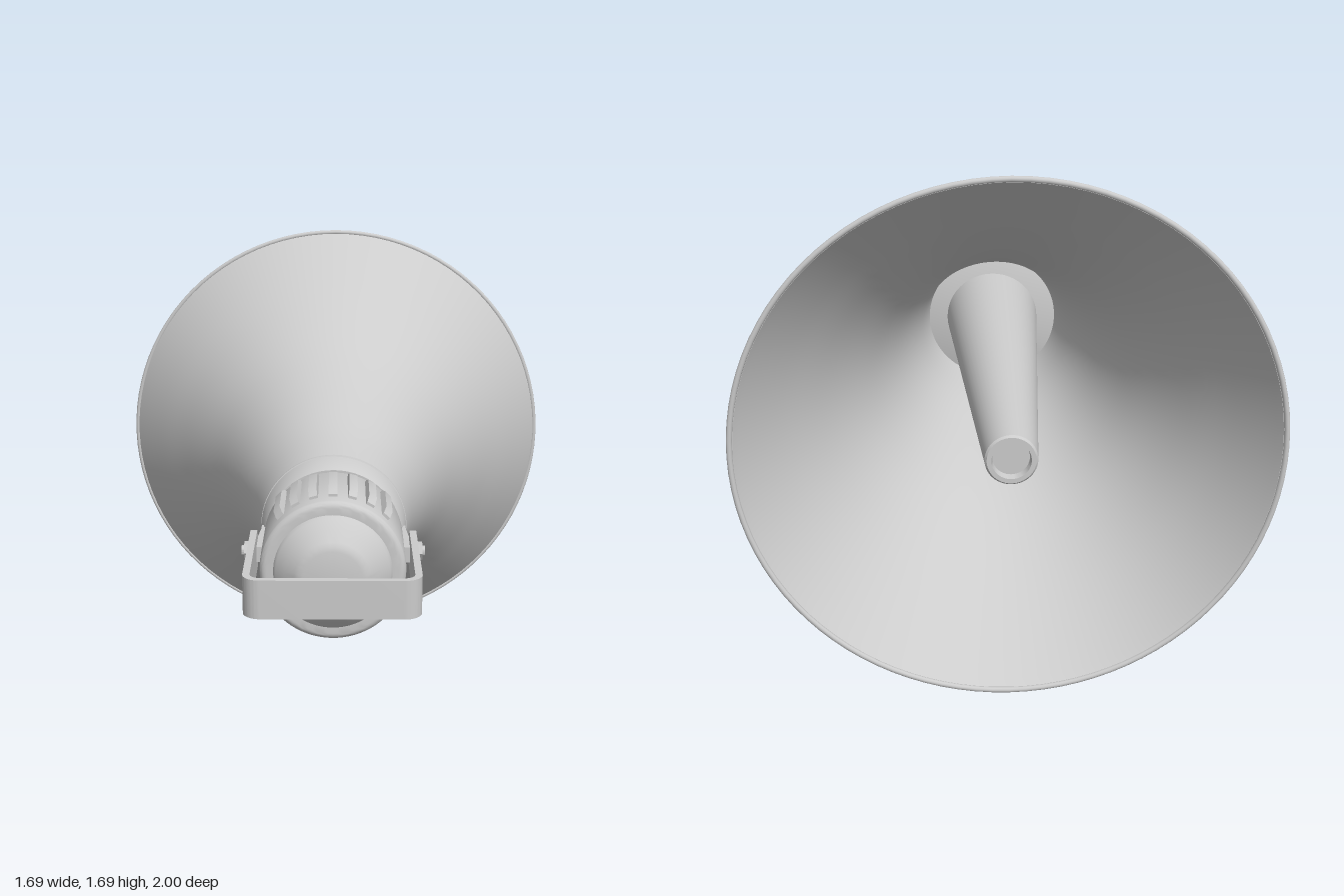
import * as THREE from 'three';
import { toCreasedNormals } from 'three/addons/utils/BufferGeometryUtils.js';

const AXIS_Y = 0.845;
const mat = new THREE.MeshStandardMaterial({ color: 0xcccccc });

// Solid of revolution around z; points are [radius, z]
function turned(name, pts, segments = 80, crease = 0.5) {
  const geo = new THREE.LatheGeometry(pts.map(([r, z]) => new THREE.Vector2(r, z)), segments);
  geo.rotateX(Math.PI / 2);
  return named(name, toCreasedNormals(geo, crease));
}

function named(name, geo) {
  const mesh = new THREE.Mesh(geo, mat);
  mesh.name = name;
  return mesh;
}

// Shape extruded in depth, centred on the extrusion direction
function slab(shape, depth, curveSegments = 8) {
  const geo = new THREE.ExtrudeGeometry(shape, { depth, bevelEnabled: false, curveSegments });
  geo.translate(0, 0, -depth / 2);
  return toCreasedNormals(geo, 0.5);
}

export function createModel() {
  const model = new THREE.Group();
  model.name = 'hornLoudspeaker';
  const body = new THREE.Group();
  body.name = 'body';
  body.position.y = AXIS_Y;
  model.add(body);

  // Flared bell: outer skin, then inner skin back to the mouth
  const flare = new THREE.SplineCurve([
    [0.836, -0.935], [0.717, -0.775], [0.6, -0.61], [0.48, -0.41], [0.4, -0.235],
    [0.333, -0.05], [0.28, 0.128], [0.242, 0.32],
  ].map(p => new THREE.Vector2(...p))).getPoints(36).map(p => [p.x, p.y]);
  const inner = flare.map(([r, z]) => [r - 0.01, z]).reverse();
  body.add(turned('bell', [...flare, ...inner, flare[0]], 96));
  const rim = named('bellRim', new THREE.TorusGeometry(0.836, 0.009, 10, 96));
  rim.position.z = -0.935;
  body.add(rim);

  // Inner tapered tube with a recessed end
  body.add(turned('innerTube', [
    [0, -0.975], [0.056, -0.975], [0.06, -1], [0.074, -1], [0.08, -0.993], [0.17, 0.31],
  ], 48));

  // Collar with a groove beside the bell
  body.add(turned('collar', [
    [0, 0.295], [0.236, 0.295], [0.247, 0.3], [0.247, 0.31], [0.241, 0.313], [0.241, 0.319],
    [0.245, 0.322], [0.233, 0.402], [0.226, 0.412], [0, 0.412],
  ]));

  // Driver housing with neck and rounded shoulders
  const housing = [[0, 0.4], [0.203, 0.4], [0.203, 0.438], [0.219, 0.438], [0.226, 0.441], [0.229, 0.449]];
  for (let i = 0; i <= 6; i++) {
    const a = (i / 6) * Math.PI / 2;
    housing.push([0.206 + 0.023 * Math.cos(a), 0.74 + 0.023 * Math.sin(a)]);
  }
  housing.push([0.187, 0.763], [0, 0.763]);
  body.add(turned('driverHousing', housing));

  // Tapered rear cap
  body.add(turned('rearCap', [
    [0.187, 0.755], [0.185, 0.765], [0.178, 0.775], [0.15, 0.799], [0.119, 0.826],
    [0.107, 0.834], [0.092, 0.838], [0, 0.84],
  ], 80, 0.7));

  // Cooling ribs, seven above and seven below
  const ribShape = new THREE.Shape([
    [0.215, 0.475], [0.237, 0.475], [0.25, 0.515], [0.25, 0.672], [0.237, 0.71], [0.215, 0.71],
  ].map(p => new THREE.Vector2(...p)));
  const ribGeo = slab(ribShape, 0.027);
  ribGeo.rotateX(Math.PI / 2);
  const ribs = new THREE.Group();
  ribs.name = 'coolingRibs';
  for (const side of [1, -1]) {
    for (let i = -3; i <= 3; i++) {
      const rib = named('coolingRib', ribGeo);
      rib.rotation.z = side * Math.PI / 2 + i * Math.PI / 12;
      ribs.add(rib);
    }
  }
  body.add(ribs);

  // U-shaped mounting bracket, drawn in plan
  const w = 0.268, t = 0.022, R = 0.055, z0 = 0.545, z1 = 1;
  const plan = new THREE.Shape();
  plan.moveTo(w, z0);
  plan.lineTo(w, z1 - R);
  plan.absarc(w - R, z1 - R, R, 0, Math.PI / 2);
  plan.lineTo(R - w, z1);
  plan.absarc(R - w, z1 - R, R, Math.PI / 2, Math.PI);
  plan.lineTo(-w, z0);
  plan.lineTo(t - w, z0);
  plan.lineTo(t - w, z1 - R);
  plan.absarc(R - w, z1 - R, R - t, Math.PI, Math.PI / 2, true);
  plan.lineTo(w - R, z1 - t);
  plan.absarc(w - R, z1 - R, R - t, Math.PI / 2, 0, true);
  plan.lineTo(w - t, z0);
  const bracketGeo = slab(plan, 0.122);
  bracketGeo.rotateX(Math.PI / 2);
  body.add(named('mountingBracket', bracketGeo));

  // Rounded arm ends, side straps and hex bolts
  const endShape = new THREE.Shape();
  endShape.moveTo(0, -0.061);
  endShape.lineTo(0, 0.061);
  endShape.absarc(-0.001, 0.041, 0.02, Math.PI / 2, Math.PI);
  endShape.absarc(-0.001, -0.041, 0.02, Math.PI, Math.PI * 1.5);
  const endGeo = slab(endShape, t);
  endGeo.rotateY(-Math.PI / 2);
  const strapShape = new THREE.Shape([
    [0.226, 0.385], [0.24, 0.385], [0.24, 0.42], [0.247, 0.5], [0.247, 0.605],
    [0.225, 0.605], [0.225, 0.5],
  ].map(p => new THREE.Vector2(...p)));
  const strapGeo = slab(strapShape, 0.052);
  strapGeo.rotateX(Math.PI / 2);
  const hexGeo = toCreasedNormals(new THREE.CylinderGeometry(0.031, 0.031, 0.02, 6), 0.5);
  const shankGeo = toCreasedNormals(new THREE.CylinderGeometry(0.017, 0.017, 0.08, 16), 0.5);

  for (const side of [1, -1]) {
    const fixing = new THREE.Group();
    fixing.name = side > 0 ? 'leftFixing' : 'rightFixing';
    if (side < 0) fixing.rotation.z = Math.PI;
    const end = named('bracketArmEnd', endGeo);
    end.position.set(w - t / 2, 0, z0);
    const strap = named('strap', strapGeo);
    const nut = named('hexNut', hexGeo);
    nut.position.set(0.277, 0, 0.565);
    const shank = named('boltShank', shankGeo);
    shank.position.set(0.256, 0, 0.565);
    nut.rotation.z = shank.rotation.z = -Math.PI / 2;
    fixing.add(end, strap, nut, shank);
    body.add(fixing);
  }
  return model;
}
